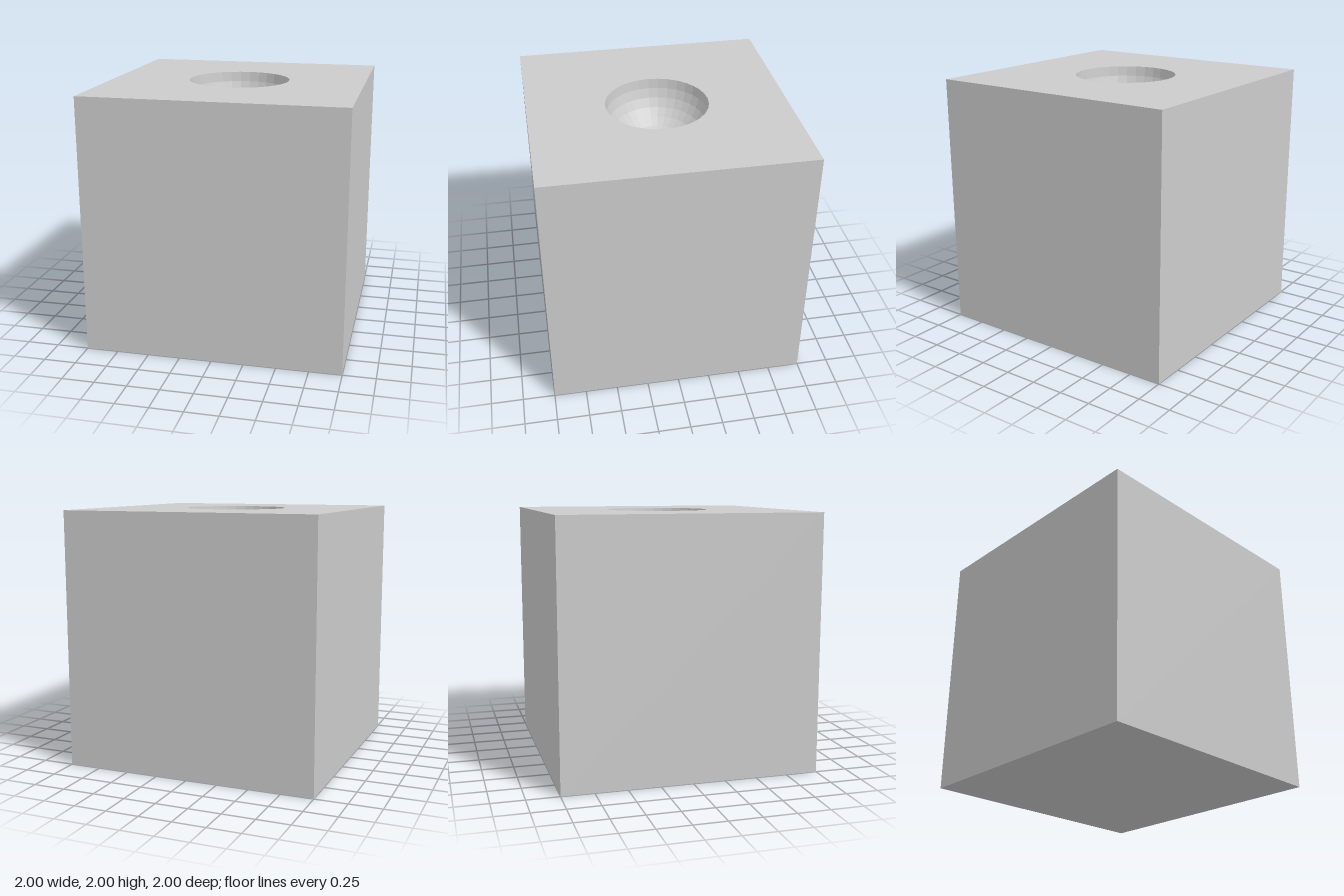
import * as THREE from 'three';

const SIZE = 2, RADIUS = 0.4, SIDES = 32;

export function createModel() {
  const group = new THREE.Group();
  const material = new THREE.MeshStandardMaterial({ color: 0xcccccc, flatShading: true });

  const add = (name, geometry, y) => {
    const mesh = new THREE.Mesh(geometry, material);
    mesh.name = name;
    mesh.position.y = y;
    group.add(mesh);
  };

  // Cube sides and bottom: a box without its top face (indices 12 to 17)
  const box = new THREE.BoxGeometry(SIZE, SIZE, SIZE);
  box.setIndex([...box.index.array].filter((_, i) => i < 12 || i > 17));
  box.clearGroups();
  add('cubeBody', box, SIZE / 2);

  // Top face with a round opening
  const h = SIZE / 2;
  const square = new THREE.Shape([[-h, -h], [h, -h], [h, h], [-h, h]].map(p => new THREE.Vector2(...p)));
  square.holes.push(new THREE.Path().absarc(0, 0, RADIUS, 0, Math.PI * 2, true));
  add('topFace', new THREE.ShapeGeometry(square, SIDES / 2).rotateX(-Math.PI / 2), SIZE);

  // Hemispherical hollow: lower half of a sphere, mirrored so its faces point inward
  const hollow = new THREE.SphereGeometry(RADIUS, SIDES, 8, 0, Math.PI * 2, Math.PI / 2, Math.PI / 2)
    .scale(-1, 1, 1).toNonIndexed();
  hollow.computeVertexNormals();
  add('hollow', hollow, SIZE);

  return group;
}
